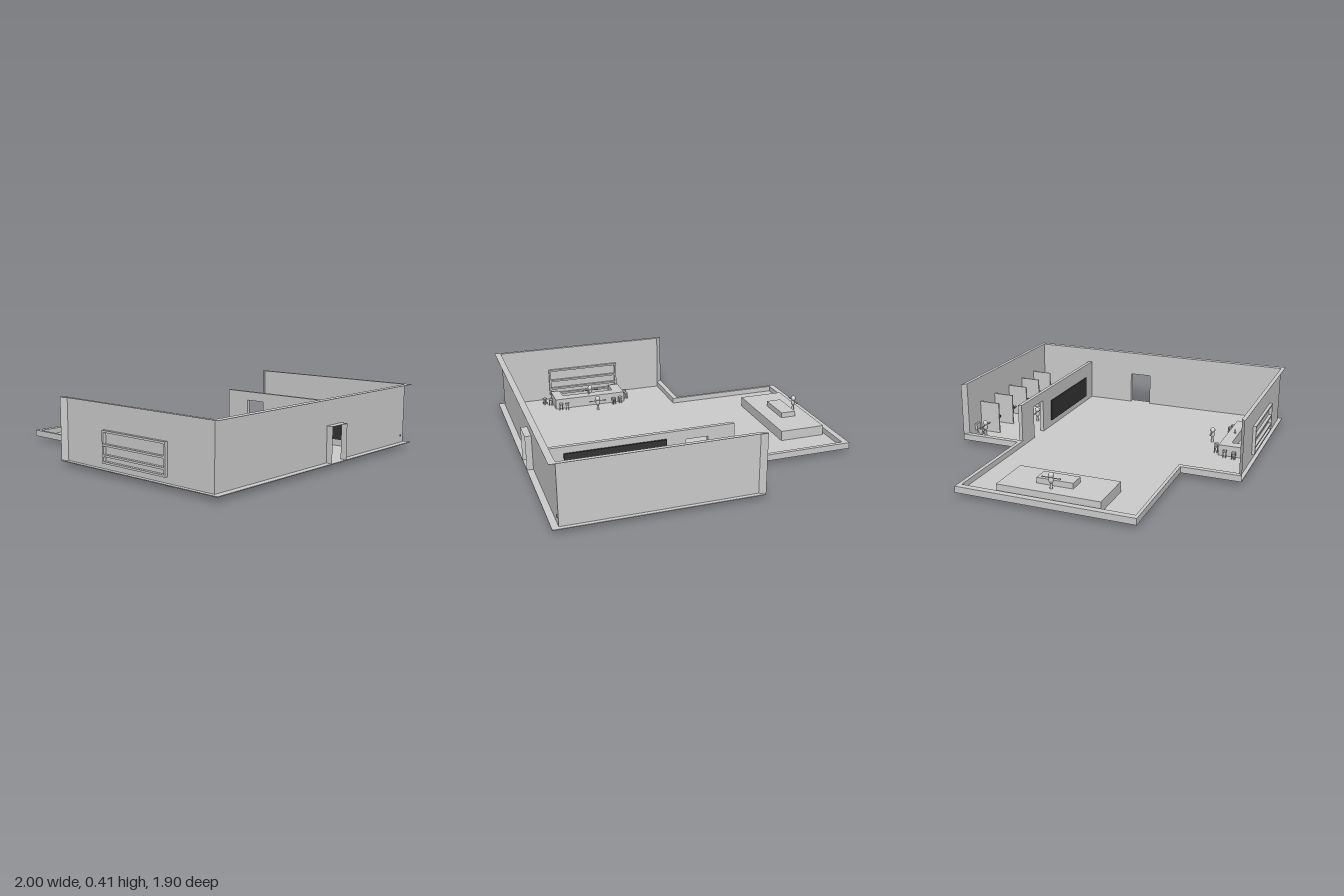
import * as THREE from 'three';

const mat = (color) => new THREE.MeshStandardMaterial({ color, side: THREE.DoubleSide });
const grey = mat(0xcccccc), dark = mat(0x333333), teal = mat(0x66c2b8);
const FLOOR = 0.03, TOP = 0.41, DOOR = 0.25;

export function createModel() {
  const root = new THREE.Group();

  const add = (parent, name, geo, m = grey) => {
    const mesh = new THREE.Mesh(geo, m);
    mesh.name = name;
    parent.add(mesh);
    return mesh;
  };
  // box given by its limits on each axis
  const box = (parent, name, x0, x1, y0, y1, z0, z1, m = grey) => {
    const mesh = add(parent, name, new THREE.BoxGeometry(x1 - x0, y1 - y0, z1 - z0), m);
    mesh.position.set((x0 + x1) / 2, (y0 + y1) / 2, (z0 + z1) / 2);
    return mesh;
  };
  const shapeOf = (pts) => new THREE.Shape(pts.map(([x, y]) => new THREE.Vector2(x, y)));
  // plan outline (x, z) raised from y0 to y1
  const plan = (parent, name, pts, y0, y1) => {
    const geo = new THREE.ExtrudeGeometry(shapeOf(pts.map(([x, z]) => [x, -z])), { depth: y1 - y0, bevelEnabled: false });
    geo.rotateX(-Math.PI / 2).translate(0, y0, 0);
    return add(parent, name, geo);
  };
  // thin upright sheets along a plan polyline
  const sheets = (parent, name, pts, y0, y1) => {
    for (let i = 1; i < pts.length; i++) {
      const [ax, az] = pts[i - 1], [bx, bz] = pts[i];
      const mesh = add(parent, name, new THREE.PlaneGeometry(Math.hypot(bx - ax, bz - az), y1 - y0));
      mesh.position.set((ax + bx) / 2, (y0 + y1) / 2, (az + bz) / 2);
      mesh.rotation.y = -Math.atan2(bz - az, bx - ax);
    }
  };

  // floor slab
  plan(root, 'floor', [[-1, -0.55], [-0.23, -0.55], [-0.23, -0.955], [1, -0.955],
    [1, 0.95], [-0.23, 0.95], [-0.23, 0.57], [-1, 0.57]], FLOOR - 0.005, FLOOR);

  // low parapet round the terrace
  plan(root, 'terraceParapet', [
    [-0.23, -0.955], [-0.23, -0.55], [-1, -0.55], [-1, 0.57], [-0.23, 0.57], [-0.23, 0.95],
    [-0.195, 0.925], [-0.195, 0.55], [-0.96, 0.55], [-0.96, -0.525], [-0.195, -0.525], [-0.195, -0.93],
  ], FLOOR, 0.065);

  // tall walls: single sheets with mitred ends and an overhanging cap
  const walls = new THREE.Group();
  walls.name = 'tallWalls';
  root.add(walls);
  sheets(walls, 'backWall', [[-0.23, -0.955], [-0.195, -0.93], [0.96, -0.93]], FLOOR, TOP);
  sheets(walls, 'frontWall', [[0.96, 0.925], [-0.195, 0.925], [-0.23, 0.95]], FLOOR, TOP);
  plan(walls, 'wallCap', [[-0.23, -0.955], [1, -0.955], [1, 0.95], [-0.23, 0.95],
    [-0.195, 0.925], [0.96, 0.925], [0.96, -0.93], [-0.195, -0.93]], TOP - 0.002, TOP);
  const side = add(walls, 'sideWall', new THREE.ShapeGeometry(shapeOf([
    [-0.925, FLOOR], [0.05, FLOOR], [0.05, DOOR], [0.2, DOOR],
    [0.2, FLOOR], [0.93, FLOOR], [0.93, TOP], [-0.925, TOP]])));
  side.rotation.y = Math.PI / 2;
  side.position.x = 0.96;
  for (const z of [-0.05, -0.2]) sheets(walls, 'doorJamb', [[0.96, z], [1, z]], FLOOR, DOOR);
  box(walls, 'doorLintel', 0.96, 1, DOOR - 0.002, DOOR, -0.2, -0.05);

  // washroom partition with doorway and mirrors
  const partTop = 0.31;
  const part = add(root, 'partition', new THREE.ExtrudeGeometry(shapeOf([
    [-0.2, FLOOR], [-0.03, FLOOR], [-0.03, DOOR], [0.11, DOOR],
    [0.11, FLOOR], [0.96, FLOOR], [0.96, partTop], [-0.2, partTop]]), { depth: 0.025, bevelEnabled: false }));
  part.position.z = -0.55;
  box(root, 'hallPanel', 0.23, 0.84, 0.07, 0.215, -0.525, -0.518, dark);
  box(root, 'washroomMirror', 0.23, 0.84, 0.13, 0.27, -0.561, -0.55, dark);

  // standing figure: base at y, arms along x unless turned
  const figure = (x, y, z, turn = 0) => {
    const g = new THREE.Group();
    g.name = 'figure';
    g.position.set(x, y, z);
    g.rotation.y = turn;
    const ball = (name, r, px, py, sy = 1) => {
      const b = add(g, name, new THREE.SphereGeometry(r, 14, 10));
      b.position.set(px, py, 0);
      b.scale.y = sy;
    };
    add(g, 'legs', new THREE.CylinderGeometry(0.006, 0.009, 0.04, 10)).position.y = 0.02;
    ball('torso', 0.015, 0, 0.053, 1.4);
    ball('head', 0.017, 0, 0.083);
    for (const s of [-1, 1]) {
      const arm = add(g, 'arm', new THREE.CylinderGeometry(0.003, 0.003, 0.045, 8));
      arm.rotation.z = Math.PI / 2;
      arm.position.set(s * 0.032, 0.066, 0);
      ball('hand', 0.006, s * 0.055, 0.066);
    }
    root.add(g);
  };

  // toilets, each with a stall divider and paper holder
  const toilets = [-0.1, 0.075, 0.28, 0.48, 0.675, 0.87];
  const dividers = [-0.03, 0.165, 0.375, 0.575, 0.77];
  toilets.forEach((x, i) => {
    const g = new THREE.Group();
    g.name = 'toilet';
    root.add(g);
    const b = i === 1 ? 0.017 : 0.022;
    box(g, 'tank', x - b, x + b, 0.06, 0.105, -0.93, -0.914);
    box(g, 'foot', x - 0.01, x + 0.01, 0.022, 0.055, -0.91, -0.885);
    box(g, 'bowl', x - 0.017, x + 0.017, 0.05, 0.068, -0.914, -0.877);
    box(g, 'water', x - 0.011, x + 0.011, 0.066, 0.0695, -0.908, -0.883, teal);
    const d = dividers[i] ?? 0.965;
    box(g, 'paperHolder', d - 0.016, d - 0.003, 0.068, 0.082, -0.902, -0.888, dark);
    if (i < 5) box(root, 'stallDivider', d - 0.005, d + 0.005, FLOOR, 0.24, -0.93, -0.79);
    if (i !== 1) figure(x, FLOOR, -0.862);
  });

  // wash basins and hand dryers
  for (const x of [0.345, 0.53, 0.715]) {
    const g = new THREE.Group();
    g.name = 'washBasin';
    root.add(g);
    box(g, 'basinBack', x - 0.042, x + 0.042, 0.09, 0.115, -0.566, -0.55);
    box(g, 'basinFront', x - 0.042, x + 0.042, 0.09, 0.115, -0.595, -0.587);
    for (const s of [-1, 1]) box(g, 'basinSide', x + s * 0.038 - 0.004, x + s * 0.038 + 0.004, 0.09, 0.115, -0.59, -0.56);
    box(g, 'basinFloor', x - 0.036, x + 0.036, 0.09, 0.096, -0.59, -0.56);
    box(g, 'tap', x - 0.004, x + 0.004, 0.115, 0.128, -0.58, -0.56);
  }
  for (const x of [0.172, 0.898]) box(root, 'handDryer', x - 0.015, x + 0.015, 0.13, 0.165, -0.568, -0.55, dark);

  // stage with table
  box(root, 'stage', -0.94, -0.64, 0.023, 0.095, -0.31, 0.34);
  box(root, 'stageTable', -0.84, -0.74, 0.095, 0.13, -0.1, 0.13);

  // U-shaped bar counter reaching just below the floor
  plan(root, 'barCounter', [[0.13, 0.71], [0.63, 0.71], [0.63, 0.885], [0.565, 0.885],
    [0.565, 0.78], [0.2, 0.78], [0.2, 0.885], [0.13, 0.885]], 0, 0.1);
  const tap = add(root, 'barTap', new THREE.CylinderGeometry(0.006, 0.006, 0.025, 10));
  tap.position.set(0.38, 0.112, 0.755);

  // bottle shelf standing through the front wall
  const shelf = new THREE.Group();
  shelf.name = 'bottleShelf';
  root.add(shelf);
  for (const x of [0.13, 0.618]) box(shelf, 'shelfSide', x, x + 0.012, 0.065, 0.255, 0.907, 0.945);
  for (const y of [0.065, 0.105, 0.165, 0.243]) box(shelf, 'shelfBoard', 0.13, 0.63, y, y + 0.012, 0.907, 0.945);

  // bar stools: x, z, turn
  const stools = [[0.165, 0.685, 0.1], [0.215, 0.675, 0.3], [0.555, 0.68, -0.2], [0.597, 0.69, -0.3],
    [0.105, 0.757, 0.1], [0.094, 0.818, -0.2], [0.65, 0.8, -0.3], [0.685, 0.833, 0.4]];
  for (const [x, z, turn] of stools) {
    const g = new THREE.Group();
    g.name = 'barStool';
    g.position.set(x, FLOOR, z);
    g.rotation.y = turn;
    root.add(g);
    box(g, 'seat', -0.012, 0.012, 0.036, 0.046, -0.012, 0.012);
    for (const sx of [-1, 1]) for (const sz of [-1, 1]) {
      box(g, 'leg', sx * 0.009 - 0.002, sx * 0.009 + 0.002, 0, 0.036, sz * 0.009 - 0.002, sz * 0.009 + 0.002);
    }
  }

  // people on stage, at the bar and in the washroom
  figure(-0.88, 0.095, 0.012, Math.PI / 2);
  figure(0.35, FLOOR, 0.61);
  figure(0.35, FLOOR, 0.837);
  figure(0.285, FLOOR, -0.66);

  return root;
}
